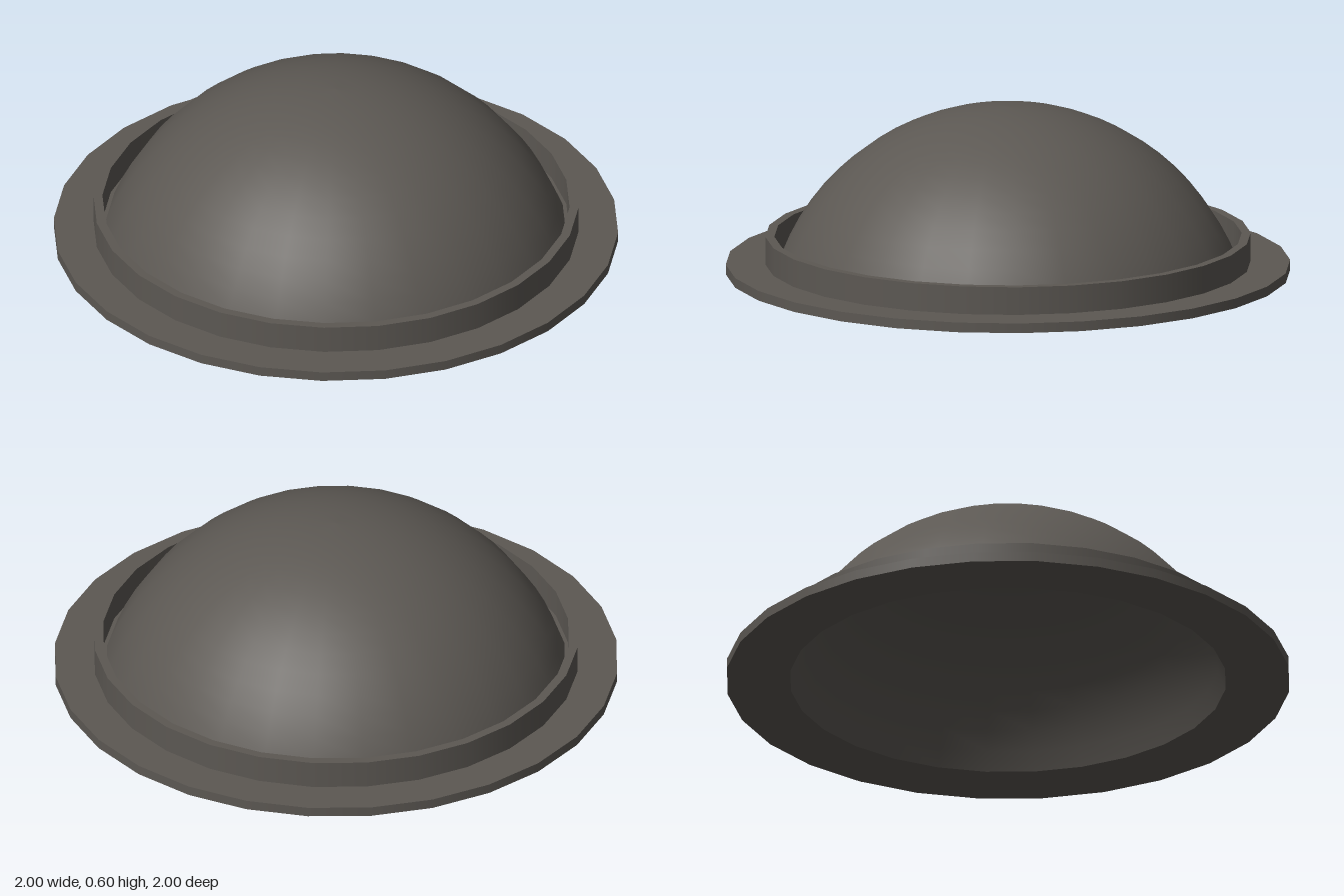
import * as THREE from 'three';
import { mergeGeometries } from 'three/addons/utils/BufferGeometryUtils.js';

const SIDES = 28;
const material = new THREE.MeshStandardMaterial({ color: 0x5c5853 });

// Revolve several profile runs [r, y]; each run is smooth, edges between runs stay sharp.
function revolve(name, runs) {
  const parts = runs.map(run =>
    new THREE.LatheGeometry(run.map(([r, y]) => new THREE.Vector2(r, y)), SIDES));
  const mesh = new THREE.Mesh(mergeGeometries(parts), material);
  mesh.name = name;
  return mesh;
}

// Split a polygon outline into one sharp-edged run per side.
const sharp = pts => pts.slice(1).map((p, i) => [pts[i], p]);

// Spherical cap profile from its base height up to the apex.
function cap(radius, centreY, baseY, steps = 14) {
  const start = Math.asin((baseY - centreY) / radius);
  return Array.from({ length: steps + 1 }, (_, i) => {
    const a = start + (Math.PI / 2 - start) * i / steps;
    return [i === steps ? 0 : radius * Math.cos(a), centreY + radius * Math.sin(a)];
  });
}

export function createModel() {
  const group = new THREE.Group();
  group.name = 'domedCover';

  const top = 0.035;
  const centreY = -0.27;
  const outer = cap(0.87, centreY, top);
  const inner = cap(0.82, centreY, 0).reverse();
  const openingR = inner[inner.length - 1][0];

  // Flat base flange, open in the middle
  group.add(revolve('flange', sharp([[openingR, 0], [1, 0], [1, top], [0.8, top]])));

  // Upright collar standing clear of the dome
  group.add(revolve('collar', sharp([[0.86, top], [0.86, 0.135], [0.828, 0.135], [0.828, top]])));

  // Hollow dome: outer skin and concave underside
  group.add(revolve('dome', [outer, inner]));

  return group;
}
